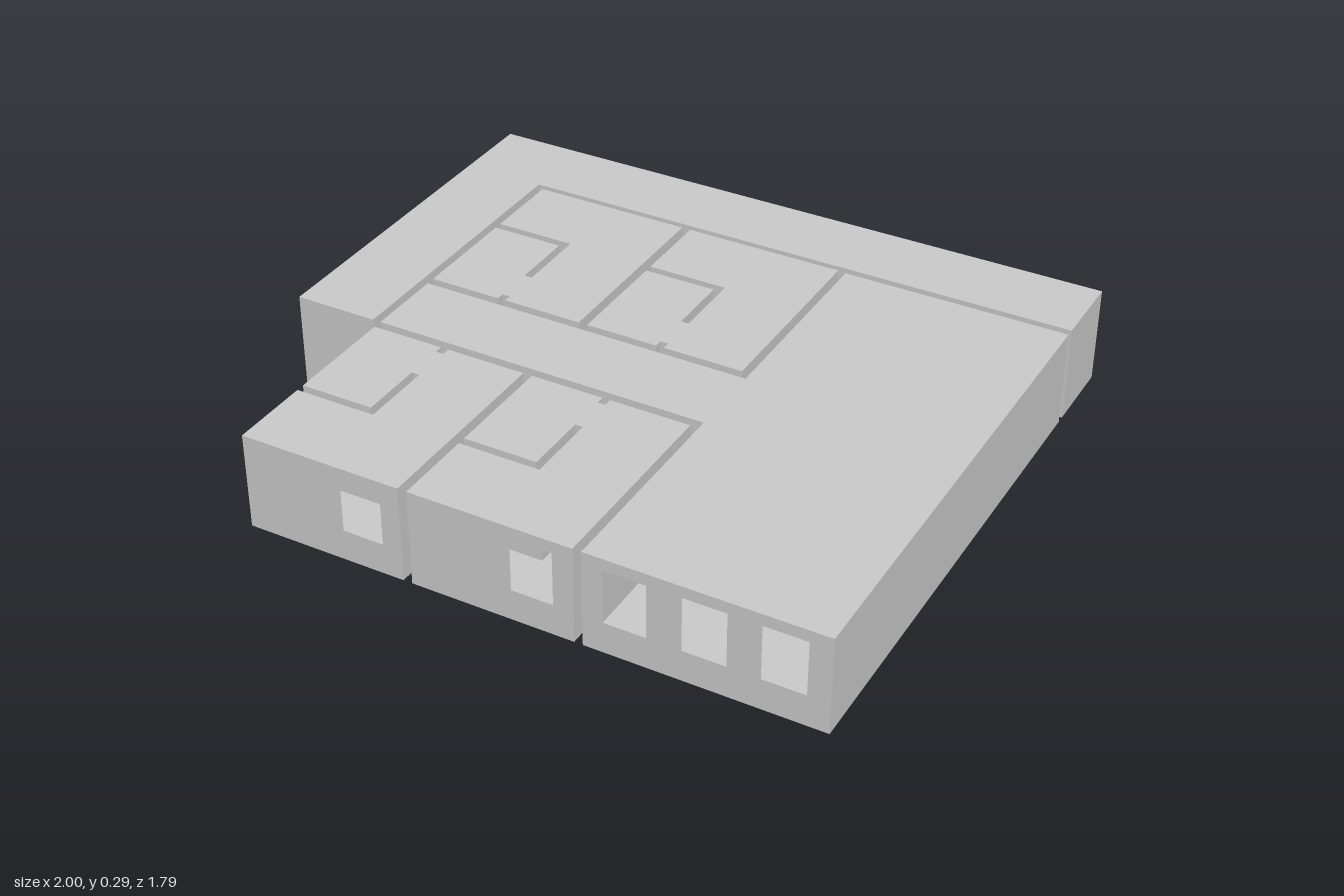
import * as THREE from 'three';
import { mergeGeometries } from 'three/addons/utils/BufferGeometryUtils.js';

const HEIGHT = 0.295, HEAD = 0.26, SILL = 0.095, FRONT = 0.894;
const EPS = 1e-3;
const material = new THREE.MeshStandardMaterial({ color: 0xcccccc, side: THREE.DoubleSide });

// Rectangle outline on the floor plan, as [x, z] corners
const rect = (x0, x1, z0, z1) => [[x0, z0], [x1, z0], [x1, z1], [x0, z1]];

// Flat wall from a to b, with doors notched out of its foot and windows cut as holes
function wall(a, b, height, openings) {
  const start = new THREE.Vector3(a[0], 0, a[1]);
  const dir = new THREE.Vector3(b[0] - a[0], 0, b[1] - a[1]);
  const length = dir.length();
  dir.normalize();
  const normal = new THREE.Vector3(-dir.z, 0, dir.x);
  const along = ([x, z]) => (x - a[0]) * dir.x + (z - a[1]) * dir.z;
  const across = ([x, z]) => (x - a[0]) * normal.x + (z - a[1]) * normal.z;

  const cuts = openings
    .filter((o) => [o.a, o.b].every((p) => Math.abs(across(p)) < EPS && along(p) > -EPS && along(p) < length + EPS))
    .map((o) => ({ u0: Math.min(along(o.a), along(o.b)), u1: Math.max(along(o.a), along(o.b)), y0: o.y0, y1: o.y1 }))
    .sort((p, q) => p.u0 - q.u0);
  // An opening as large as the wall leaves nothing to build
  if (cuts.some((c) => c.u1 - c.u0 > length - EPS && c.y1 > height - EPS)) return null;

  const shape = new THREE.Shape().moveTo(0, 0);
  for (const c of cuts) {
    if (c.y0 === 0) {
      shape.lineTo(c.u0, 0).lineTo(c.u0, c.y1).lineTo(c.u1, c.y1).lineTo(c.u1, 0);
    } else {
      shape.holes.push(new THREE.Path().moveTo(c.u0, c.y0).lineTo(c.u0, c.y1).lineTo(c.u1, c.y1).lineTo(c.u1, c.y0).closePath());
    }
  }
  shape.lineTo(length, 0).lineTo(length, height).lineTo(0, height).closePath();
  const matrix = new THREE.Matrix4().makeBasis(dir, new THREE.Vector3(0, 1, 0), normal).setPosition(start);
  return new THREE.ShapeGeometry(shape).applyMatrix4(matrix);
}

// Hollow volume: floor, ceiling and one wall per edge of the outline
function room(name, outline, openings, height = HEIGHT) {
  let plan = outline.map(([x, z]) => new THREE.Vector2(x, -z));
  if (THREE.ShapeUtils.area(plan) < 0) plan = plan.reverse();
  const slab = new THREE.ShapeGeometry(new THREE.Shape(plan));
  const ceiling = slab.clone().rotateX(-Math.PI / 2).translate(0, height, 0);
  const floor = slab.clone().rotateX(-Math.PI / 2);
  floor.index.array.reverse();
  floor.computeVertexNormals();

  const parts = [floor, ceiling];
  plan.forEach((p, i) => {
    const q = plan[(i + 1) % plan.length];
    const side = wall([p.x, -p.y], [q.x, -q.y], height, openings);
    if (side) parts.push(side);
  });
  const mesh = new THREE.Mesh(mergeGeometries(parts), material);
  mesh.name = name;
  return mesh;
}

export function createModel() {
  const model = new THREE.Group();
  model.name = 'floorPlan';
  const roomStep = 0.517;
  const mirrorZ = (z) => 0.262 - z;

  // Door passages through the wall gaps: [x0, x1, z0, z1, runs along z]
  const doors = [
    [-0.745, -0.72, 0.072, 0.195, false],
    [0.594, 0.717, -0.652, -0.628, true],
  ];
  for (const x of [-0.41, 0.103]) {
    doors.push([x, x + 0.121, -0.018, 0.01, true]);
    doors.push([x, x + 0.121, 0.252, 0.28, true]);
  }

  const openings = [];
  for (const [x0, x1, z0, z1, alongZ] of doors) {
    const ends = alongZ
      ? [[[x0, z0], [x1, z0]], [[x0, z1], [x1, z1]]]
      : [[[x0, z0], [x0, z1]], [[x1, z0], [x1, z1]]];
    for (const [a, b] of ends) openings.push({ a, b, y0: 0, y1: HEAD });
  }
  // Front windows
  for (const x of [-0.412, 0.103, 0.37, 0.594, 0.812]) {
    openings.push({ a: [x, FRONT], b: [x + 0.124, FRONT], y0: SILL, y1: HEAD });
  }

  // Rear passage that turns down one side
  model.add(room('outerPassage', [
    [-1, -0.895], [1, -0.895], [1, -0.652], [-0.745, -0.652], [-0.745, 0.252], [-1, 0.252],
  ], openings));

  // Main hall with the corridor between the bedrooms
  model.add(room('hallAndCorridor', [
    [0.312, -0.628], [1, -0.628], [1, FRONT], [0.312, FRONT],
    [0.312, 0.252], [-0.72, 0.252], [-0.72, 0.01], [0.312, 0.01],
  ], openings));

  // Bedroom outline, with the slits of its bathroom partition
  const back = -0.632;
  const bedroom = [
    [-0.72, back], [-0.23, back], [-0.23, -0.018],
    [-0.474, -0.018], [-0.474, -0.043], [-0.498, -0.043], [-0.498, -0.018], [-0.72, -0.018],
    [-0.72, -0.36], [-0.498, -0.36], [-0.498, -0.163], [-0.474, -0.163], [-0.474, -0.385], [-0.72, -0.385],
  ];
  for (let i = 0; i < 2; i++) {
    const rear = bedroom.map(([x, z]) => [x + i * roomStep, z]);
    model.add(room('rearBedroom' + (i + 1), rear, openings));
    model.add(room('frontBedroom' + (i + 1), rear.map(([x, z]) => [x, mirrorZ(z)]), openings));
  }

  // Door passages
  doors.forEach(([x0, x1, z0, z1], i) => {
    model.add(room('doorway' + (i + 1), rect(x0, x1, z0, z1), openings, HEAD));
  });
  return model;
}
